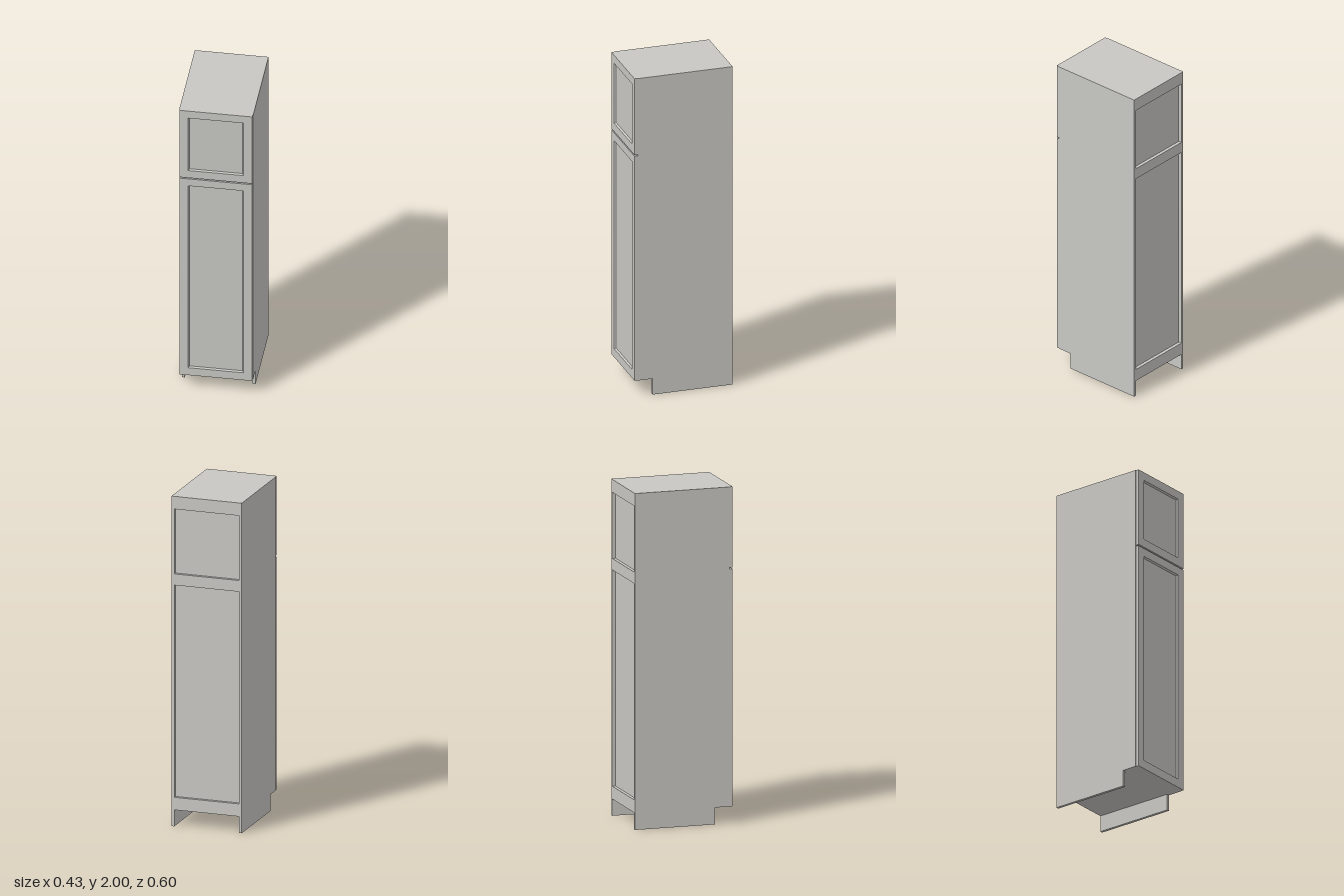
import * as THREE from 'three';

const W = 0.434, D = 0.6, H = 2, T = 0.017;   // overall size and board thickness
const BACK = -D / 2, CARCASS_FRONT = 0.28, BASE = 0.1;

export function createModel() {
  const group = new THREE.Group();
  group.name = 'tallCabinet';
  const paint = new THREE.MeshStandardMaterial({ color: 0xc8c7c3 });
  paint.name = 'warm grey';

  const add = (name, geometry, parent = group) => {
    const mesh = new THREE.Mesh(geometry, paint);
    mesh.name = name;
    parent.add(mesh);
    return mesh;
  };
  // Box given by its limits on each axis
  const box = (name, x0, x1, y0, y1, z0, z1, parent) =>
    add(name, new THREE.BoxGeometry(x1 - x0, y1 - y0, z1 - z0), parent)
      .position.set((x0 + x1) / 2, (y0 + y1) / 2, (z0 + z1) / 2);

  // Side boards with a toe-kick notch at the lower front
  const profile = new THREE.Shape([
    [BACK, 0], [0.19, 0], [0.19, BASE], [CARCASS_FRONT, BASE], [CARCASS_FRONT, H], [BACK, H],
  ].map(([z, y]) => new THREE.Vector2(-z, y)));
  for (const [name, x] of [['leftSide', W / 2 - T], ['rightSide', -W / 2]]) {
    const geometry = new THREE.ExtrudeGeometry(profile, { depth: T, bevelEnabled: false });
    geometry.rotateY(Math.PI / 2);
    add(name, geometry).position.x = x;
  }

  // Carcass boards between the sides
  const inner = W / 2 - T;
  box('topBoard', -inner, inner, H - T, H, BACK + 0.02, CARCASS_FRONT);
  box('bottomBoard', -inner, inner, BASE, BASE + T, BACK + 0.02, CARCASS_FRONT);
  box('fixedShelf', -inner, inner, 1.5, 1.53, BACK + 0.026, CARCASS_FRONT);
  box('backPanel', -inner, inner, BASE + T, H - T, BACK + 0.02, BACK + 0.026);

  // Rails across the back, flush with the side boards
  for (const [name, y0, y1] of [
    ['bottomBackRail', BASE, 0.176], ['middleBackRail', 1.462, 1.53], ['topBackRail', 1.923, H],
  ]) box(name, -inner, inner, y0, y1, BACK, BACK + 0.02);

  // Framed door with a recessed panel and a narrow sloped moulding
  const rect = (Type, w, y0, y1) => new Type([
    new THREE.Vector2(-w, y0), new THREE.Vector2(w, y0),
    new THREE.Vector2(w, y1), new THREE.Vector2(-w, y1),
  ]);
  const door = (name, y0, y1, p0, p1) => {
    const part = new THREE.Group();
    part.name = name;
    group.add(part);
    const w = 0.214, pw = 0.163, slope = 0.007, recess = 0.01, front = D / 2;
    const frame = rect(THREE.Shape, w, y0, y1);
    frame.holes.push(rect(THREE.Path, pw, p0, p1));
    add('doorFrame', new THREE.ExtrudeGeometry(frame, { depth: front - CARCASS_FRONT, bevelEnabled: false }), part)
      .position.z = CARCASS_FRONT;
    box('doorPanel', -pw, pw, p0, p1, CARCASS_FRONT, front - recess, part);

    // Sloped strip from the frame edge down to the panel
    const ring = (s, z) => [[-pw + s, p0 + s, z], [pw - s, p0 + s, z], [pw - s, p1 - s, z], [-pw + s, p1 - s, z]];
    const outer = ring(0, front), low = ring(slope, front - recess);
    const points = [];
    for (let i = 0; i < 4; i++) {
      const j = (i + 1) % 4;
      points.push(...outer[i], ...outer[j], ...low[j], ...outer[i], ...low[j], ...low[i]);
    }
    const moulding = new THREE.BufferGeometry();
    moulding.setAttribute('position', new THREE.Float32BufferAttribute(points, 3));
    moulding.computeVertexNormals();
    add('panelMoulding', moulding, part);
  };
  door('lowerDoor', BASE, 1.512, 0.153, 1.462);
  door('upperDoor', 1.52, H, 1.572, 1.949);

  return group;
}
